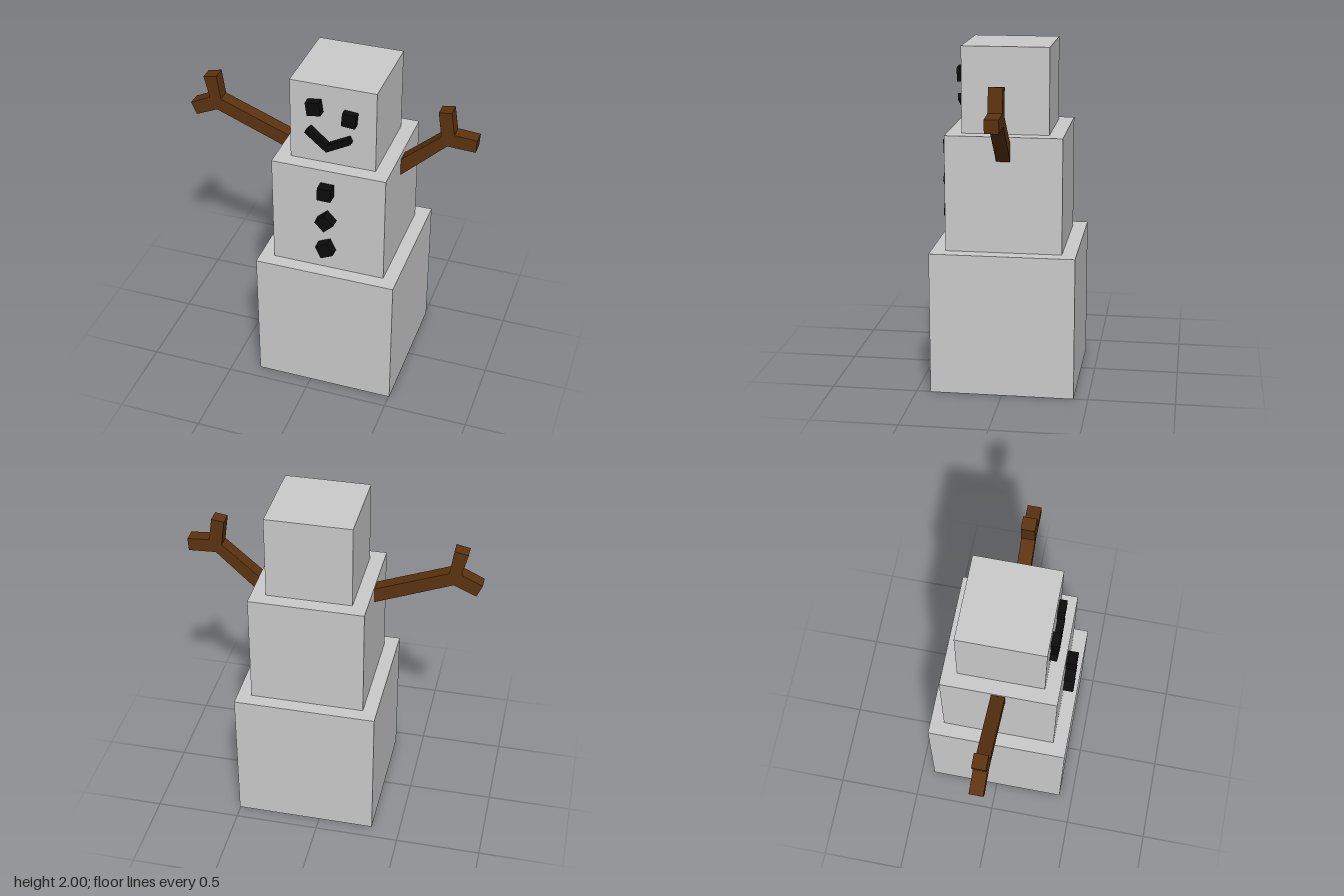
import * as THREE from 'three';

const snow = new THREE.MeshStandardMaterial({ color: 0xcccccc, flatShading: true });
const wood = new THREE.MeshStandardMaterial({ color: 0x5c3310, flatShading: true });
const coal = new THREE.MeshStandardMaterial({ color: 0x0c0c0c, flatShading: true });

const BODY_X = 0.087;

export function createModel() {
  const model = new THREE.Group();

  const add = (name, geometry, material, x, y, z, turn = 0) => {
    const mesh = new THREE.Mesh(geometry, material);
    mesh.name = name;
    mesh.position.set(x, y, z);
    mesh.rotation.z = THREE.MathUtils.degToRad(turn);
    model.add(mesh);
  };

  // Flat outline in x/y, given thickness between two depths
  const slab = (name, points, material, back, front) => {
    const shape = new THREE.Shape(points.map(([x, y]) => new THREE.Vector2(x, y)));
    const geometry = new THREE.ExtrudeGeometry(shape, { depth: front - back, bevelEnabled: false });
    add(name, geometry, material, 0, 0, back);
  };

  // Three stacked snow blocks
  let bottom = 0;
  for (const [name, width, height] of [
    ['baseBlock', 0.835, 0.835],
    ['torsoBlock', 0.67, 0.67],
    ['headBlock', 0.5, 0.495],
  ]) {
    add(name, new THREE.BoxGeometry(width, height, width), snow, BODY_X, bottom + height / 2, 0);
    bottom += height;
  }

  // Coal eyes and buttons, each turned a little differently
  const lump = new THREE.BoxGeometry(0.08, 0.08, 0.08);
  add('rightEye', lump, coal, -0.013, 1.865, 0.26, 8);
  add('leftEye', lump, coal, 0.19, 1.825, 0.253, -5);
  [[1.381, -1], [1.183, 43], [0.99, 25]].forEach(([y, turn], i) =>
    add(`button${i + 1}`, lump, coal, 0.082, y, 0.357, turn));

  // Smiling mouth
  slab('mouth', [
    [-0.066, 1.704], [0.061, 1.598], [0.204, 1.677],
    [0.188, 1.709], [0.066, 1.643], [-0.04, 1.735],
  ], coal, 0.22, 0.293);

  // Forked stick arms
  slab('rightArm', [
    [-0.248, 1.402], [-0.248, 1.492], [-0.669, 1.656], [-0.69, 1.804], [-0.77, 1.788],
    [-0.738, 1.656], [-0.86, 1.598], [-0.828, 1.524], [-0.696, 1.582],
  ], wood, -0.04, 0.04);
  slab('leftArm', [
    [0.422, 1.365], [0.685, 1.614], [0.847, 1.606], [0.852, 1.683], [0.722, 1.693],
    [0.701, 1.831], [0.627, 1.82], [0.648, 1.667], [0.422, 1.471],
  ], wood, -0.04, 0.04);

  return model;
}
